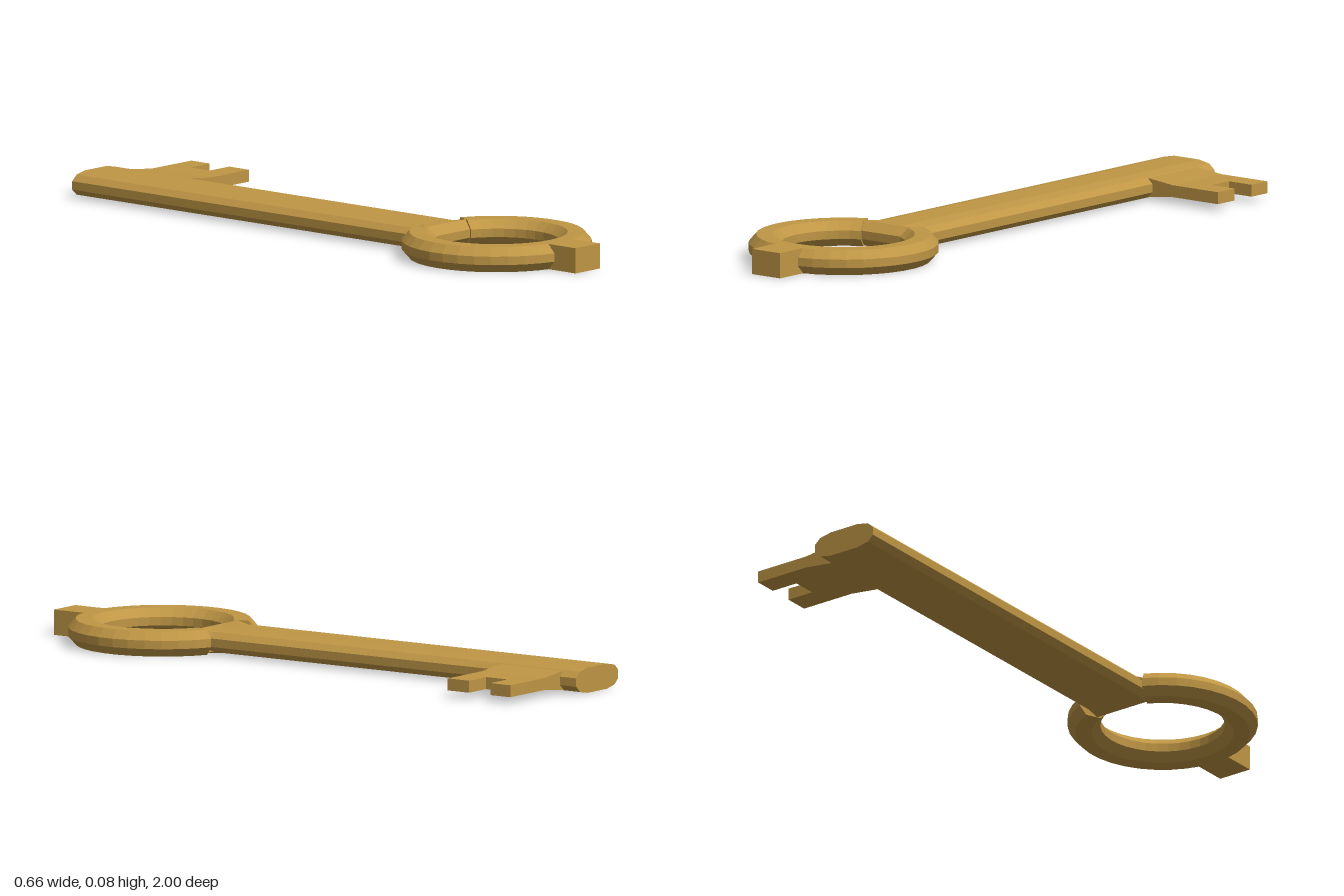
import * as THREE from 'three';

const CX = -0.04;      // axis of shaft and ring
const RING_Z = 0.63;   // ring centre
const GAP = 0.42;      // half angle of the ring taken up by the shaft
const H = 0.078;       // full thickness

const mat = new THREE.MeshStandardMaterial({ color: 0xbf9645, flatShading: true, side: THREE.DoubleSide });

function add(group, name, geometry, x = 0, y = 0, z = 0) {
  const mesh = new THREE.Mesh(geometry, mat);
  mesh.name = name;
  mesh.position.set(x, y, z);
  group.add(mesh);
  return mesh;
}

// Joins mirrored cross-sections; each lists its right side, bottom to top, as [x, y, z]
function loft(sections) {
  const n = sections[0].length;
  const loops = sections.map((s) => [...s, ...s.map(([x, y, z]) => [-x, y, z]).reverse()]);
  const pos = [];
  const quad = (a, b, c, d) => pos.push(...a, ...b, ...c, ...a, ...c, ...d);
  for (let k = 0; k < loops.length - 1; k++) {
    const a = loops[k], b = loops[k + 1];
    for (let i = 0; i < 2 * n; i++) {
      const j = (i + 1) % (2 * n);
      quad(a[i], a[j], b[j], b[i]);
    }
  }
  const back = loops[0], front = loops[loops.length - 1];
  for (let i = 0; i < n - 1; i++) {
    const l = 2 * n - 1 - i;
    quad(front[i], front[i + 1], front[l - 1], front[l]);
    quad(back[l], back[l - 1], back[i + 1], back[i]);
  }
  const g = new THREE.BufferGeometry();
  g.setAttribute('position', new THREE.Float32BufferAttribute(pos, 3));
  g.computeVertexNormals();
  return g;
}

export function createModel() {
  const key = new THREE.Group();
  key.name = 'key';

  // Flattened oval shaft, narrowing into the ring with a bevelled end
  const oval = [[0.05, 0], [0.09, 0.008], [0.11, 0.026], [0.11, 0.052], [0.09, 0.07], [0.05, H]];
  const end = [[0.05, 0, 0.42], [0.094, 0, 0.42], [0.08, 0.026, 0.45],
    [0.08, 0.052, 0.45], [0.094, H, 0.42], [0.05, H, 0.42]];
  const at = (z) => oval.map(([x, y]) => [x, y, z]);
  add(key, 'shaft', loft([at(-1), at(0.375), end]), CX);

  // Open ring with an octagonal section
  const section = [[0.267, 0], [0.29, 0.026], [0.29, 0.052], [0.267, H],
    [0.217, H], [0.19, 0.052], [0.19, 0.026], [0.217, 0], [0.267, 0]].map(([r, y]) => new THREE.Vector2(r, y));
  const bow = new THREE.Group();
  bow.name = 'bow';
  bow.position.set(CX, 0, RING_Z);
  key.add(bow);
  add(bow, 'ring', new THREE.LatheGeometry(section, 30, GAP - Math.PI, 2 * (Math.PI - GAP)));
  for (const s of [-1, 1]) {
    const cap = add(bow, 'ringEnd', new THREE.ShapeGeometry(new THREE.Shape(section.slice(0, -1))));
    cap.rotation.y = s * (Math.PI - GAP) - Math.PI / 2;
  }

  // Square stub at the end of the ring
  add(key, 'stub', new THREE.BoxGeometry(0.112, H, 0.12), CX, H / 2, 0.94);

  // Bit, thicker where it meets the shaft, with two teeth
  const profile = new THREE.Shape([[0, 0.008], [0.06, 0.01], [0.15, 0.021], [0.24, 0.021],
    [0.24, 0.058], [0.15, 0.058], [0.06, 0.068], [0, 0.07]].map(([x, y]) => new THREE.Vector2(x, y)));
  add(key, 'bit', new THREE.ExtrudeGeometry(profile, { depth: 0.235, bevelEnabled: false }), 0, 0, -0.94);
  for (const z of [-0.9025, -0.745]) {
    add(key, 'tooth', new THREE.BoxGeometry(0.09, 0.037, z < -0.8 ? 0.075 : 0.08), 0.285, 0.0395, z);
  }
  return key;
}
